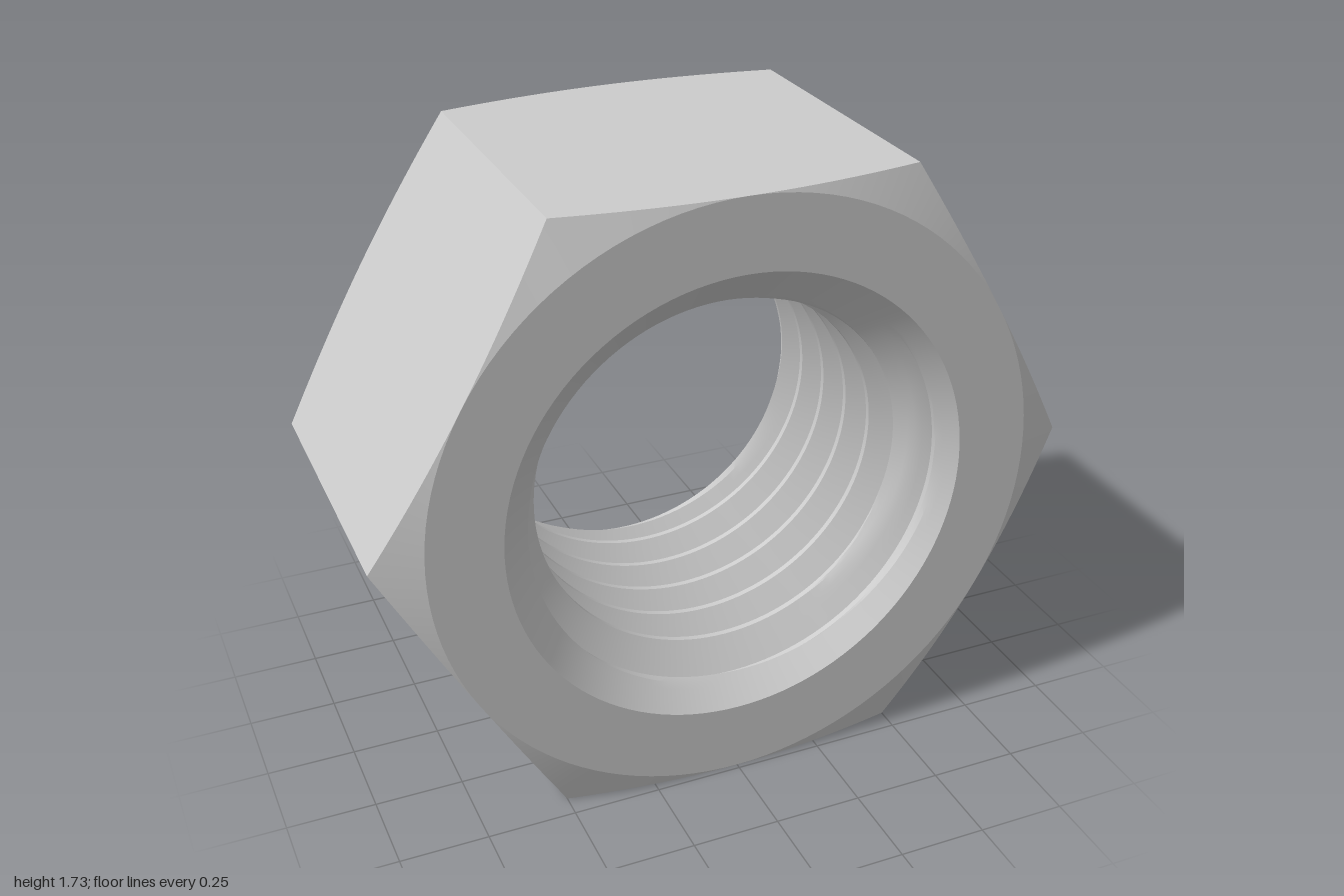
import * as THREE from 'three';
import { toCreasedNormals } from 'three/addons/utils/BufferGeometryUtils.js';

const SEG = 120;            // divisions around the axis
const FLAT = Math.sqrt(3) / 2; // centre to flat
const HALF = 0.485;         // half thickness
const MOUTH = 0.66;         // countersink radius at the faces
const MINOR = 0.517, MAJOR = 0.61, PITCH = 0.14;

// Skin of rows around the z axis; ring(row, angle) returns [radius, z]
function skin(rows, ring) {
  const at = (row, i) => {
    const a = (i / SEG) * Math.PI * 2;
    const [r, z] = ring(row, a);
    return new THREE.Vector3(Math.cos(a) * r, Math.sin(a) * r, z);
  };
  const pos = [];
  const tri = new THREE.Triangle();
  const add = (a, b, c) => {
    if (tri.set(a, b, c).getArea() < 1e-9) return;
    for (const p of [a, b, c]) pos.push(p.x, p.y, p.z);
  };
  for (let v = 0; v < rows.length - 1; v++) {
    for (let i = 0; i < SEG; i++) {
      const a = at(rows[v], i), b = at(rows[v + 1], i);
      const c = at(rows[v + 1], i + 1), d = at(rows[v], i + 1);
      add(a, b, d);
      add(b, c, d);
    }
  }
  const g = new THREE.BufferGeometry();
  g.setAttribute('position', new THREE.Float32BufferAttribute(pos, 3));
  return toCreasedNormals(g, 0.3);
}

// Hexagonal outside with conical corner chamfers and flat end faces
function hexBody() {
  const rows = [[1, 'mouth'], [1, 'circle'], [1, 'hex'], [-1, 'hex'], [-1, 'circle'], [-1, 'mouth']];
  return skin(rows, ([side, kind], a) => {
    if (kind === 'mouth') return [MOUTH, side * HALF];
    if (kind === 'circle') return [FLAT, side * HALF];
    const third = Math.PI / 3;
    const local = (((a % third) + third) % third) - third / 2;
    const r = FLAT / Math.cos(local);
    return [r, side * (HALF - (r - FLAT) * 0.373)];
  });
}

// Right-hand helical thread, cut back by a countersink at each end
function threadedHole() {
  const flank = (MAJOR - MINOR) * Math.tan(Math.PI / 6);
  const land = PITCH / 2 - flank;
  // One pitch of the profile: [offset along axis, radius]
  const profile = [
    [0, MAJOR], [land, MAJOR], [land + flank, MINOR], [2 * land + flank, MINOR], [PITCH, MAJOR],
  ];
  const rows = [];
  const start = 0.435 - land - 8 * PITCH;
  const STEPS = 4;
  for (let turn = 0; turn < 10; turn++) {
    for (let k = 0; k < 4; k++) {
      const [u0, r0] = profile[k], [u1, r1] = profile[k + 1];
      for (let s = 0; s < STEPS; s++) {
        const t = s / STEPS;
        rows.push([start + turn * PITCH + u0 + (u1 - u0) * t, r0 + (r1 - r0) * t]);
      }
    }
  }
  return skin(rows, ([u, r], a) => {
    const z = THREE.MathUtils.clamp(u + (PITCH * a) / (Math.PI * 2), -HALF, HALF);
    const cone = MOUTH - (HALF - Math.abs(z));
    return [Math.max(r, cone), z];
  });
}

export function createModel() {
  const group = new THREE.Group();
  group.name = 'hexNut';
  const material = new THREE.MeshStandardMaterial({ color: 0xcccccc });
  const parts = { hexBody: hexBody(), threadedHole: threadedHole() };
  for (const [name, geometry] of Object.entries(parts)) {
    const mesh = new THREE.Mesh(geometry, material);
    mesh.name = name;
    mesh.position.y = FLAT;
    group.add(mesh);
  }
  return group;
}
